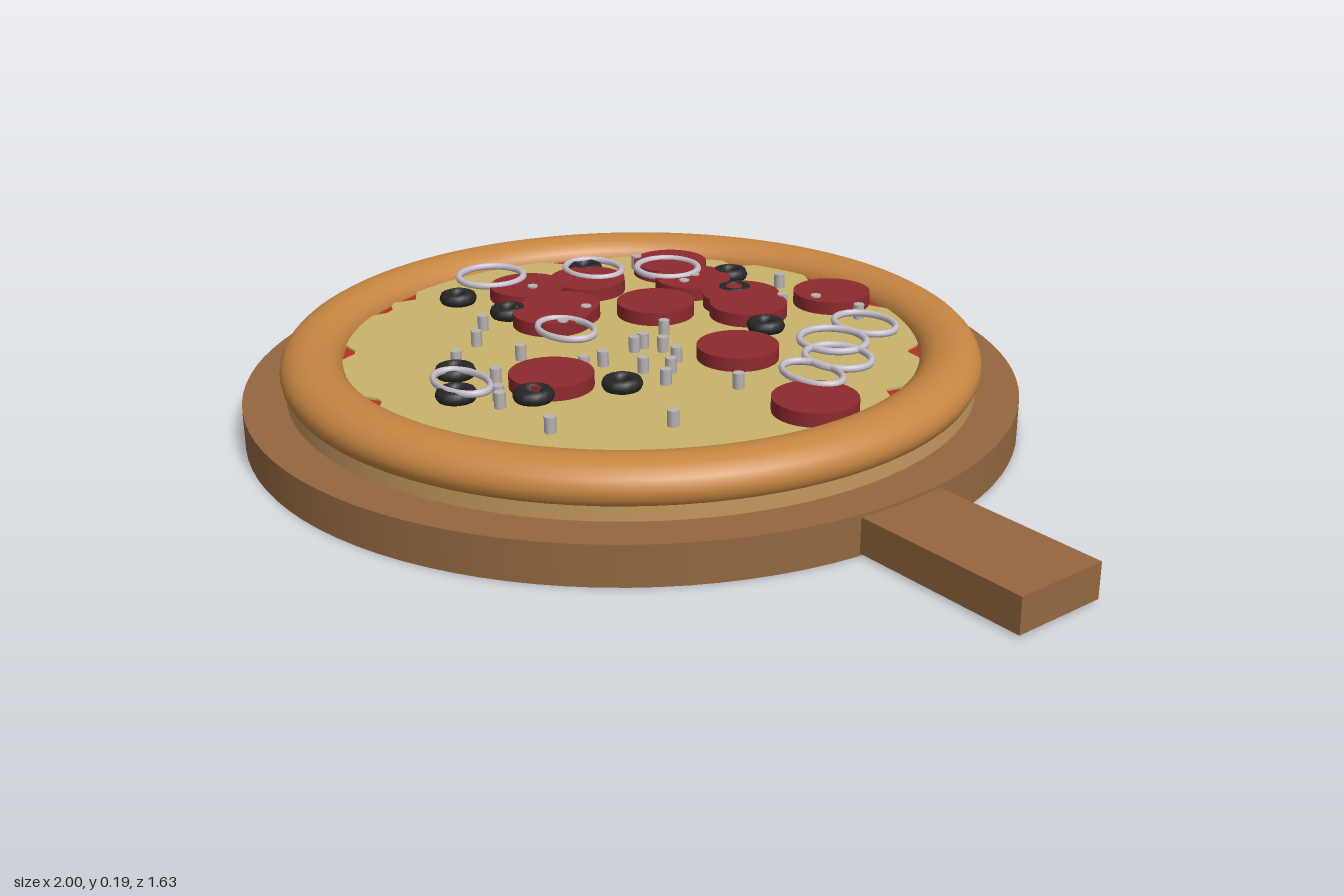
import * as THREE from 'three';

const mat = (name, color) => {
  const m = new THREE.MeshStandardMaterial({ color });
  m.name = name;
  return m;
};

export function createModel() {
  const wood = mat('wood', 0x946840);
  const dough = mat('dough', 0xc4985e);
  const crustBrown = mat('crust brown', 0xc68642);
  const sauceRed = mat('sauce red', 0xb5301f);
  const cheeseYellow = mat('cheese yellow', 0xc9b46b);
  const meatRed = mat('meat red', 0x8e2a2d);
  const oliveBlack = mat('olive black', 0x262626);
  const onionPale = mat('onion pale', 0xc6bfcb);
  const crumbGrey = mat('crumb grey', 0xb9b4b4);

  const model = new THREE.Group();
  model.name = 'pizzaOnBoard';
  const add = (parent, name, geometry, material, x, y, z) => {
    const mesh = new THREE.Mesh(geometry, material);
    mesh.name = name;
    mesh.position.set(x, y, z);
    parent.add(mesh);
    return mesh;
  };
  const disc = (r, h, seg = 96) => new THREE.CylinderGeometry(r, r, h, seg);
  const ring = (r, tube, a, b) => new THREE.TorusGeometry(r, tube, a, b).rotateX(Math.PI / 2);

  // Serving board with its handle
  add(model, 'board', disc(0.815, 0.083), wood, -0.185, 0.0415, 0);
  add(model, 'handle', new THREE.BoxGeometry(0.42, 0.072, 0.2), wood, 0.79, 0.041, 0);

  // Pizza, centred on the board
  const pizza = new THREE.Group();
  pizza.name = 'pizza';
  pizza.position.x = -0.185;
  model.add(pizza);
  add(pizza, 'doughBase', disc(0.725, 0.04), dough, 0, 0.103, 0);
  add(pizza, 'crust', ring(0.67, 0.065, 24, 96).scale(1, 0.77, 1), crustBrown, 0, 0.139, 0);
  add(pizza, 'sauce', disc(0.63, 0.02), sauceRed, 0, 0.135, 0);

  // Cheese sheet with notches around its edge that let the sauce show
  const notches = [-160, -151, -130, -118, -97, -77, -47, -24, 8, 25, 52, 69, 95, 123, 149, 158];
  const outline = [];
  for (let i = 0; i < 180; i++) {
    const deg = i * 2 - 180;
    const gap = Math.min(...notches.map((n) => Math.abs(n - deg)));
    const r = 0.575 + 0.047 * Math.min(1, gap / 6);
    const t = THREE.MathUtils.degToRad(deg);
    outline.push(new THREE.Vector2(Math.cos(t) * r, -Math.sin(t) * r));
  }
  const cheese = new THREE.ExtrudeGeometry(new THREE.Shape(outline), { depth: 0.008, bevelEnabled: false });
  add(pizza, 'cheese', cheese.rotateX(-Math.PI / 2), cheeseYellow, 0, 0.142, 0);

  // Toppings are placed by [x, z] on the model's grid
  const toppings = new THREE.Group();
  toppings.name = 'toppings';
  model.add(toppings);

  const slice = disc(0.086, 0.032, 32);
  [[-0.115, -0.51], [-0.515, -0.36], [-0.385, -0.325], [-0.23, -0.34], [-0.17, -0.31],
    [-0.305, -0.155], [0.02, -0.12], [0.335, -0.05], [-0.53, -0.13], [-0.575, 0.005],
    [-0.42, 0.02], [-0.39, 0.065], [-0.09, 0.273],
  ].forEach(([x, z], i) => add(toppings, 'sausageSlice', slice, meatRed, x, 0.163 + (i % 3) * 0.0004, z));

  const olive = ring(0.0275, 0.0145, 8, 16);
  [[-0.378, -0.43], [-0.275, -0.358], [-0.056, -0.263], [-0.62, -0.187], [-0.624, 0.16],
    [-0.474, 0.123], [0.024, 0.182], [-0.035, 0.353], [-0.238, 0.406], [-0.13, 0.47],
  ].forEach(([x, z]) => add(toppings, 'olive', olive, oliveBlack, x, 0.168, z));

  // Onion rings: [x, z, squash along z]
  const onion = ring(0.074, 0.008, 8, 40);
  [[0.094, -0.413, 0.78], [0.126, -0.29, 0.9], [0.206, -0.23, 0.84], [0.24, -0.128, 0.65],
    [-0.474, -0.32, 0.95], [-0.576, -0.18, 0.82], [-0.678, 0.037, 1], [-0.276, 0.107, 0.72],
    [-0.153, 0.443, 0.65],
  ].forEach(([x, z, squash]) => {
    add(toppings, 'onionRing', onion, onionPale, x, 0.18, z).scale.z = squash;
  });

  const crumb = disc(0.012, 0.034, 8);
  [[-0.27, -0.49], [0, -0.485], [-0.158, -0.4], [-0.105, -0.453], [-0.587, -0.315], [-0.373, -0.29],
    [-0.367, -0.01], [-0.555, 0.005], [-0.185, -0.085], [-0.105, -0.02], [-0.147, 0], [-0.142, 0.027],
    [-0.04, -0.005], [0.153, -0.01], [0.003, 0.043], [-0.035, 0.085], [0.046, 0.09], [-0.115, 0.128],
    [-0.115, 0.176], [0.223, 0.21], [-0.25, 0.24], [-0.378, 0.267], [-0.453, 0.203], [-0.32, 0.085],
    [-0.303, 0.363], [-0.17, 0.353], [-0.056, 0.417], [0.105, 0.41], [-0.088, 0.4], [-0.394, -0.337],
  ].forEach(([x, z]) => add(toppings, 'crumb', crumb, crumbGrey, x, 0.166, z));

  return model;
}
